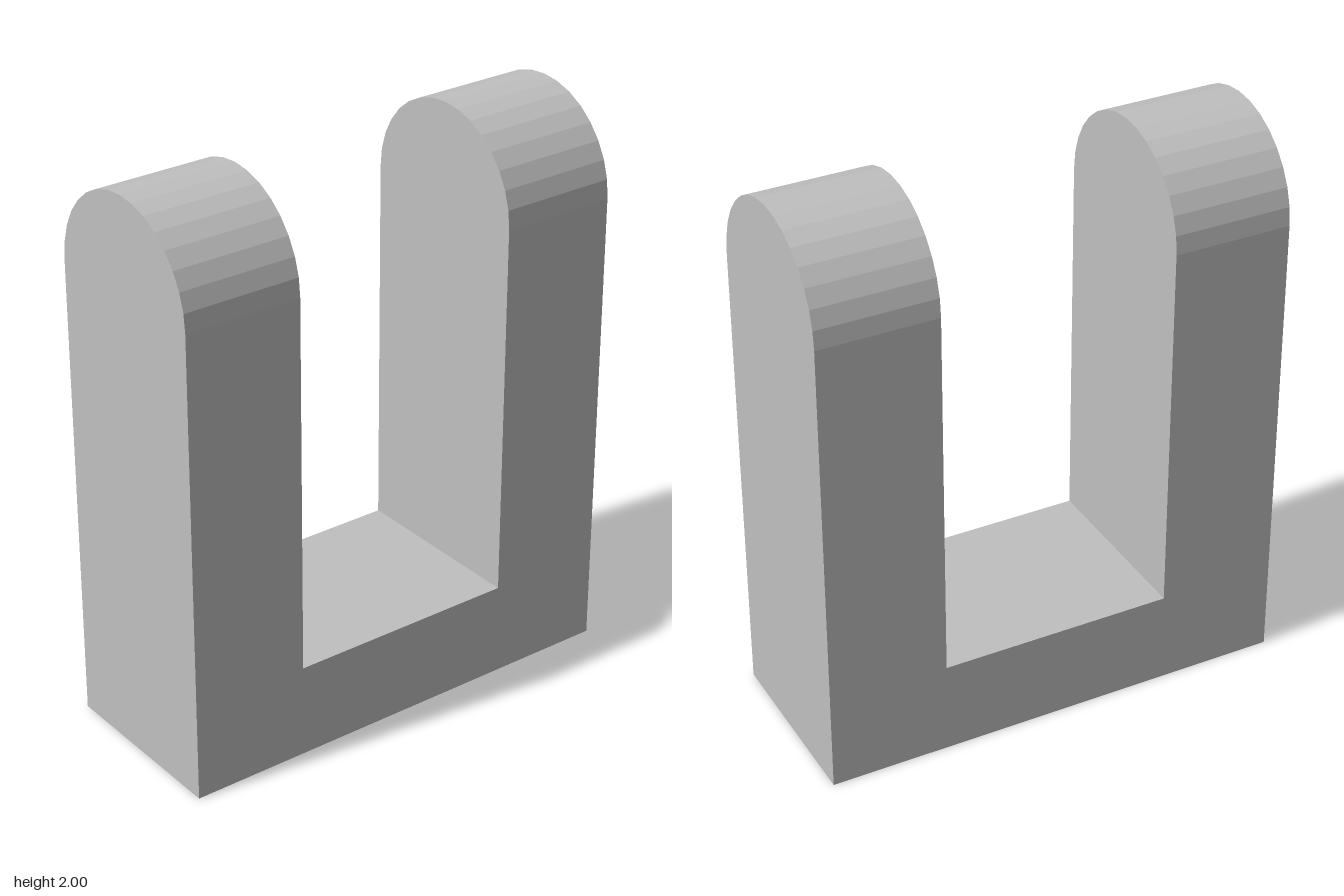
import * as THREE from 'three';

export function createModel() {
  const group = new THREE.Group();
  group.name = 'clevisBracket';
  const grey = new THREE.MeshStandardMaterial({ color: 0xc0c0c0, flatShading: true });
  grey.name = 'plain grey';

  const radius = 1 / 3, height = 2, outer = 0.833, inner = 0.413;

  // Round-topped arm profile, 16 facets over the half circle
  const profile = new THREE.Shape();
  profile.moveTo(-radius, 0);
  profile.lineTo(radius, 0);
  profile.lineTo(radius, height - radius);
  profile.absarc(0, height - radius, radius, 0, Math.PI, false);
  profile.closePath();

  const armGeometry = new THREE.ExtrudeGeometry(profile, {
    depth: outer - inner, bevelEnabled: false, curveSegments: 8,
  });
  armGeometry.translate(0, 0, -(outer - inner) / 2);
  armGeometry.rotateY(Math.PI / 2);

  // Mirrored pair of arms
  for (const [name, side] of [['leftArm', 1], ['rightArm', -1]]) {
    const arm = new THREE.Mesh(armGeometry, grey);
    arm.name = name;
    arm.position.x = side * (outer + inner) / 2;
    group.add(arm);
  }

  // Bridge joining the arms at the bottom
  const bridge = new THREE.Mesh(new THREE.BoxGeometry(inner * 2, radius, radius * 2), grey);
  bridge.name = 'bridge';
  bridge.position.y = radius / 2;
  group.add(bridge);

  return group;
}
